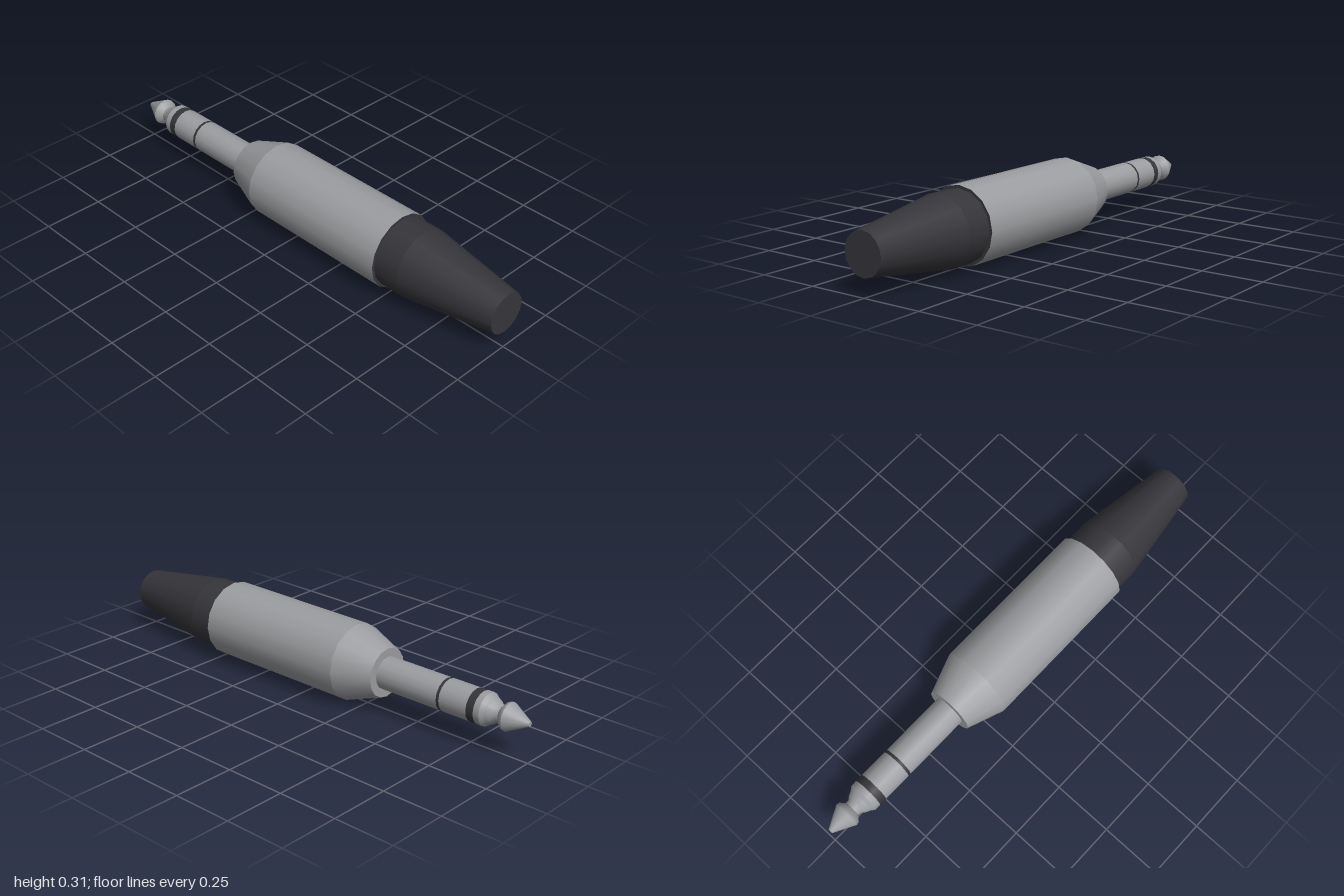
import * as THREE from 'three';
import { mergeGeometries } from 'three/addons/utils/BufferGeometryUtils.js';

const AXIS_Y = 0.156;
const SIDES = 16;

// Turns strips of [radius, z] points around the z axis; edges between strips stay sharp.
// Points run from the back (-z) to the front (+z).
function turned(...strips) {
  const parts = strips.map((pts) => {
    const g = new THREE.LatheGeometry(pts.map(([r, z]) => new THREE.Vector2(r, z)), SIDES);
    return g.rotateX(Math.PI / 2);
  });
  return mergeGeometries(parts);
}

export function createModel() {
  const metal = new THREE.MeshStandardMaterial({ color: 0x9c9da0 });
  metal.name = 'brushed metal';
  const rubber = new THREE.MeshStandardMaterial({ color: 0x36353a });
  rubber.name = 'dark rubber';

  const plug = new THREE.Group();
  plug.name = 'audioPlug';
  const add = (name, material, ...strips) => {
    const mesh = new THREE.Mesh(turned(...strips), material);
    mesh.name = name;
    mesh.position.y = AXIS_Y;
    plug.add(mesh);
  };

  // Strain relief boot
  add('boot', rubber,
    [[0.144, 0.49], [0.144, 0.6]],
    [[0.144, 0.6], [0.085, 1]],
    [[0.085, 1], [0, 1]]);

  // Barrel with tapered nose, closed by a dark collar face
  add('barrel', metal,
    [[0, -0.345], [0.1, -0.345]],
    [[0.1, -0.345], [0.156, -0.19]],
    [[0.156, -0.19], [0.156, 0.49]]);
  add('barrelCollar', rubber, [[0.156, 0.49], [0, 0.49]]);

  // Contact shaft sections separated by insulating rings
  const r = 0.066;
  add('sleeveContact', metal, [[r, -0.63], [r, -0.34]]);
  add('rearInsulator', rubber, [[r, -0.642], [r, -0.63]]);
  add('ringContact', metal, [[r, -0.765], [r, -0.642]]);
  add('frontInsulator', rubber, [[r, -0.797], [r, -0.765]]);

  // Pointed tip with its waist
  add('tipContact', metal,
    [[0, -1], [0.01, -1]],
    [[0.01, -1], [0.056, -0.912]],
    [[0.056, -0.912], [0.053, -0.9], [0.034, -0.883]],
    [[0.034, -0.883], [0.035, -0.868], [0.046, -0.855], [0.054, -0.838]],
    [[0.054, -0.838], [r, -0.822]],
    [[r, -0.822], [r, -0.797]]);

  return plug;
}
